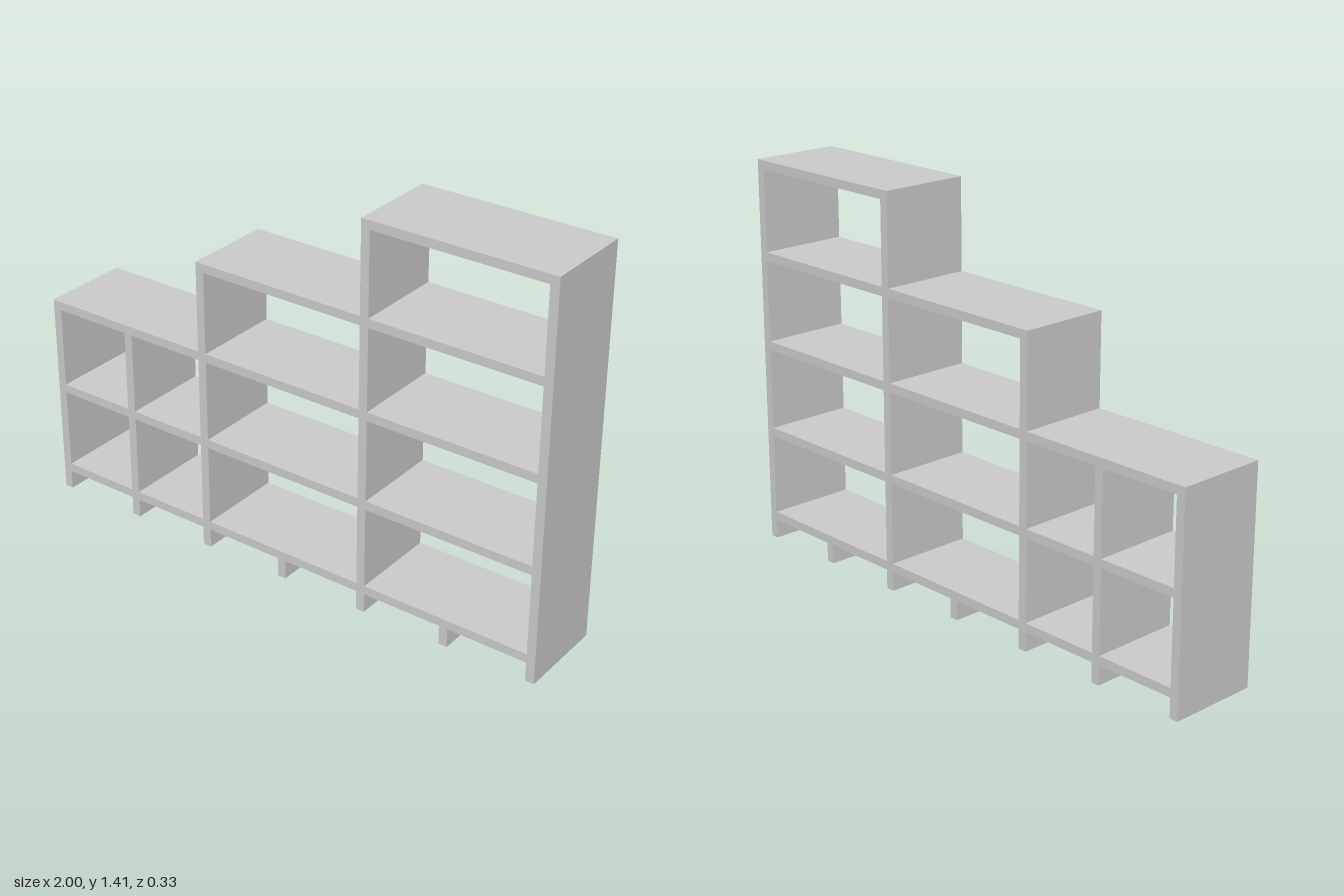
import * as THREE from 'three';

const T = 0.032;       // board thickness
const PITCH = 0.328;   // grid spacing of posts and shelves
const DEPTH = 0.328;
const BASE = 0.07;     // underside of the lowest shelf

export function createModel() {
  const model = new THREE.Group();
  model.name = 'steppedShelf';
  const material = new THREE.MeshStandardMaterial({ color: 0xcccccc, flatShading: true });

  // Board filling the rectangle x0..x1, y0..y1 over the full depth
  const board = (name, x0, x1, y0, y1) => {
    const mesh = new THREE.Mesh(new THREE.BoxGeometry(x1 - x0, y1 - y0, DEPTH), material);
    mesh.position.set((x0 + x1) / 2, (y0 + y1) / 2, 0);
    mesh.name = name;
    model.add(mesh);
  };
  const postX = (i) => -1 + i * PITCH;          // left face of post i (0..6)
  const shelfY = (level) => BASE + level * PITCH; // underside of a shelf

  // Uprights, each reaching the underside of the top board above it
  const uprights = [[0, 2], [1, 2], [2, 3], [4, 4], [6, 4]];
  for (const [i, level] of uprights) {
    board(i === 1 ? 'divider' : 'upright', postX(i), postX(i) + T, 0, shelfY(level));
  }

  // Short feet under the middle of the wide bays
  for (const i of [3, 5]) board('foot', postX(i), postX(i) + T, 0, BASE);

  // Inner shelves between neighbouring uprights
  for (let b = 0; b < uprights.length - 1; b++) {
    const [i, levels] = uprights[b];
    const next = uprights[b + 1][0];
    for (let level = 0; level < levels; level++) {
      board('shelf', postX(i) + T, postX(next), shelfY(level), shelfY(level) + T);
    }
  }

  // Top boards forming the three steps
  for (const [from, to, level] of [[0, postX(2), 2], [2, postX(4), 3], [4, 1, 4]]) {
    board('topBoard', postX(from), to, shelfY(level), shelfY(level) + T);
  }

  return model;
}
